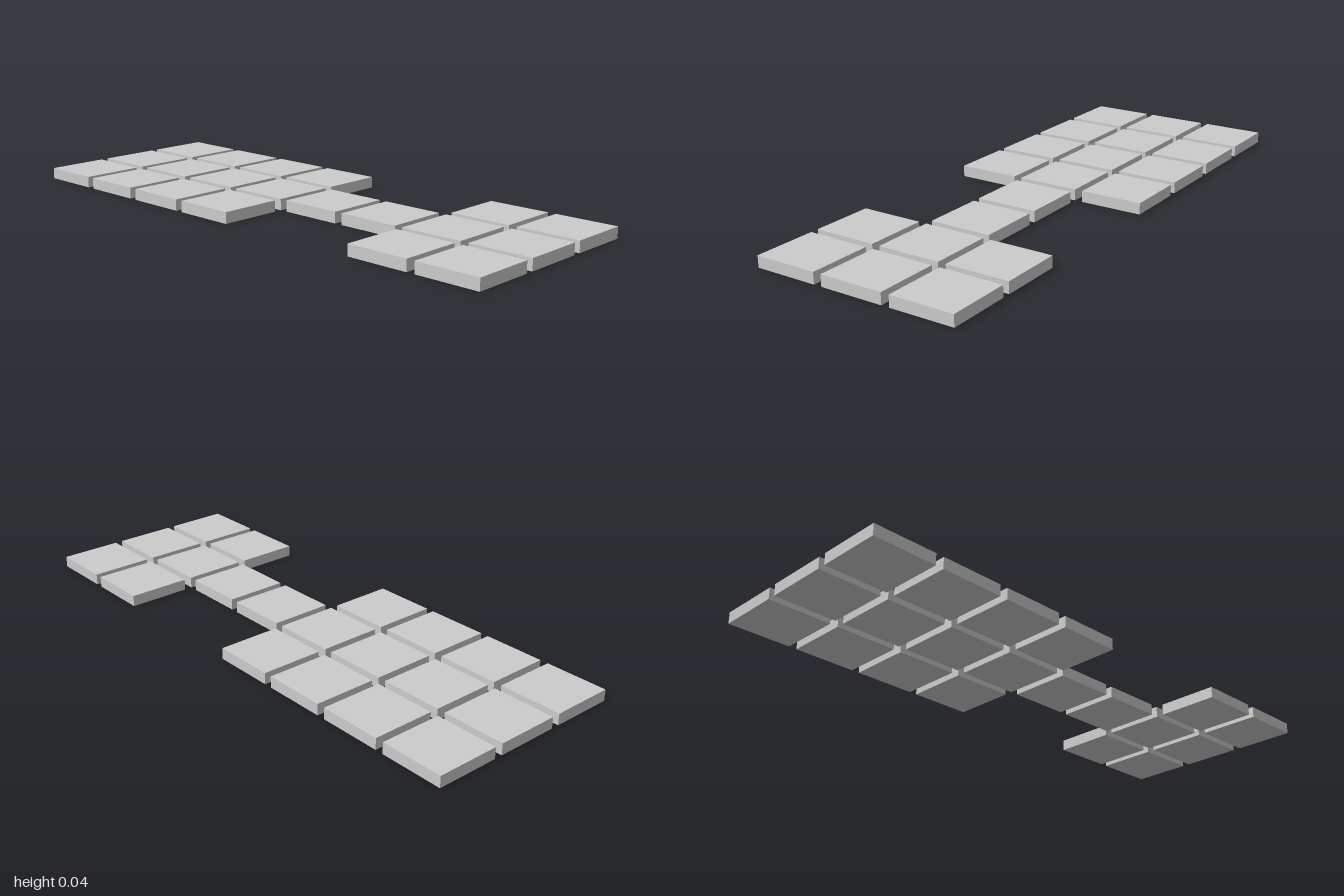
import * as THREE from 'three';

const TILE = 0.225;
const HEIGHT = 0.04;
const COLUMNS = 8;
const PITCH = (2 - TILE) / (COLUMNS - 1);

export function createModel() {
  const board = new THREE.Group();
  board.name = 'gameBoard';
  const geometry = new THREE.BoxGeometry(TILE, HEIGHT, TILE);
  const material = new THREE.MeshStandardMaterial({ color: 0xcccccc });

  // Three rows of tiles; the outer rows leave a gap beside the two-tile bridge
  for (let row = -1; row <= 1; row++) {
    for (let col = 0; col < COLUMNS; col++) {
      const bridge = col === 4 || col === 5;
      if (bridge && row !== 0) continue;
      const tile = new THREE.Mesh(geometry, material);
      tile.name = bridge ? 'bridgeTile' : 'tile';
      tile.position.set((col - (COLUMNS - 1) / 2) * PITCH, HEIGHT / 2, row * PITCH);
      board.add(tile);
    }
  }
  return board;
}
